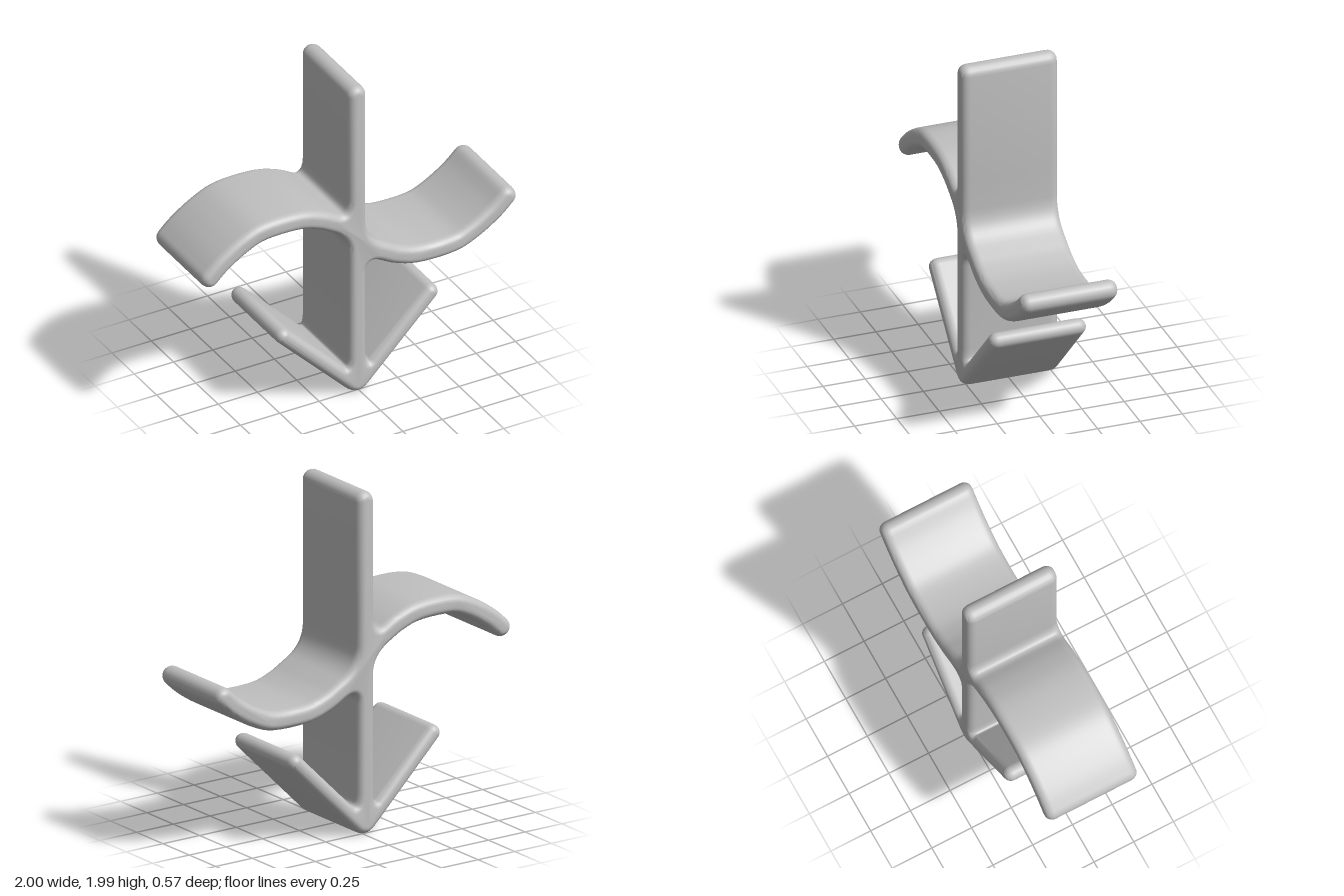
import * as THREE from 'three';
import { toCreasedNormals } from 'three/addons/utils/BufferGeometryUtils.js';

const V = (x, y) => new THREE.Vector2(x, y);

// Outline of one blade with a round tip: out along its right side, back along its left
function blade(points, half, steps) {
  const curve = new THREE.SplineCurve(points);
  const right = [], left = [], tip = [];
  for (let i = 0; i <= steps; i++) {
    const p = curve.getPoint(i / steps);
    const t = curve.getTangent(i / steps);
    const n = V(t.y, -t.x).multiplyScalar(half);
    right.push(p.clone().add(n));
    left.unshift(p.clone().sub(n));
    if (i === steps) {
      for (let k = 1; k < 10; k++) tip.push(p.clone().add(n.clone().rotateAround(V(0, 0), (k * Math.PI) / 10)));
    }
  }
  return [...right, ...tip, ...left];
}

// Soft fillet between the end of one run of points and the start of the next
function fillet(a, b, reach) {
  const p = a[a.length - 1], q = b[0];
  const d = p.clone().sub(a[a.length - 2]).normalize();
  const e = q.clone().sub(b[1]).normalize();
  const s = q.clone().sub(p).cross(e) / d.cross(e);
  const corner = p.clone().addScaledVector(d, s);
  const pull = (v) => corner.clone().add(v.clone().sub(corner).clampLength(0, reach));
  return new THREE.QuadraticBezierCurve(pull(p), corner, pull(q)).getPoints(8);
}

export function createModel() {
  const group = new THREE.Group();
  const grey = new THREE.MeshStandardMaterial({ color: 0xc0c0c0 });
  grey.name = 'plain grey';

  const postX = -0.013, half = 0.056;

  // Wave arm on the +x side; the other is its half-turn about the post
  const wave = [V(0.16, 0.865), V(0.25, 0.818), V(0.385, 0.78), V(0.6, 0.78), V(0.73, 0.825), V(0.86, 0.905), V(0.945, 0.98)];
  const waveTurned = wave.map((p) => V(-p.x, 2.014 - p.y));

  // Barbs of the arrow foot
  const barb = (side) => [V(-0.01 + side * 0.12, 0.158), V(-0.01 + side * 0.468, 0.506)];

  // Runs in counter-clockwise order, each with the reach of the fillet that follows it
  const runs = [
    [blade([V(postX, 1.28), V(postX, 2 - half)], half, 1), 0.11],
    [blade(waveTurned, half, 28), 0.12],
    [[V(postX - half, 0.93), V(postX - half, 0.25)], 0.1],
    [blade(barb(-1), 0.046, 1), 0.1],
    [blade(barb(1), 0.046, 1), 0.1],
    [[V(postX + half, 0.25), V(postX + half, 0.77)], 0.11],
    [blade(wave, half, 28), 0.12],
  ];
  const outline = runs.flatMap(([run, reach], i) => [...run, ...fillet(run, runs[(i + 1) % runs.length][0], reach)]);

  // Drop nearly coincident points so the bevel stays clean
  const clean = outline.filter((p, i) => p.distanceTo(outline[(i + 1) % outline.length]) > 0.002);

  // Whole body: the fused outline, given depth and rounded rims
  const width = 0.57, rim = 0.05;
  const geometry = new THREE.ExtrudeGeometry(new THREE.Shape(clean), {
    depth: width - 2 * rim,
    bevelThickness: rim,
    bevelSize: 0.04,
    bevelOffset: -0.04,
    bevelSegments: 6,
  });
  geometry.translate(0, 0, rim - width / 2);
  const body = new THREE.Mesh(toCreasedNormals(geometry, 0.7), grey);
  body.name = 'postWithWaveArmsAndArrowFoot';
  group.add(body);
  return group;
}
